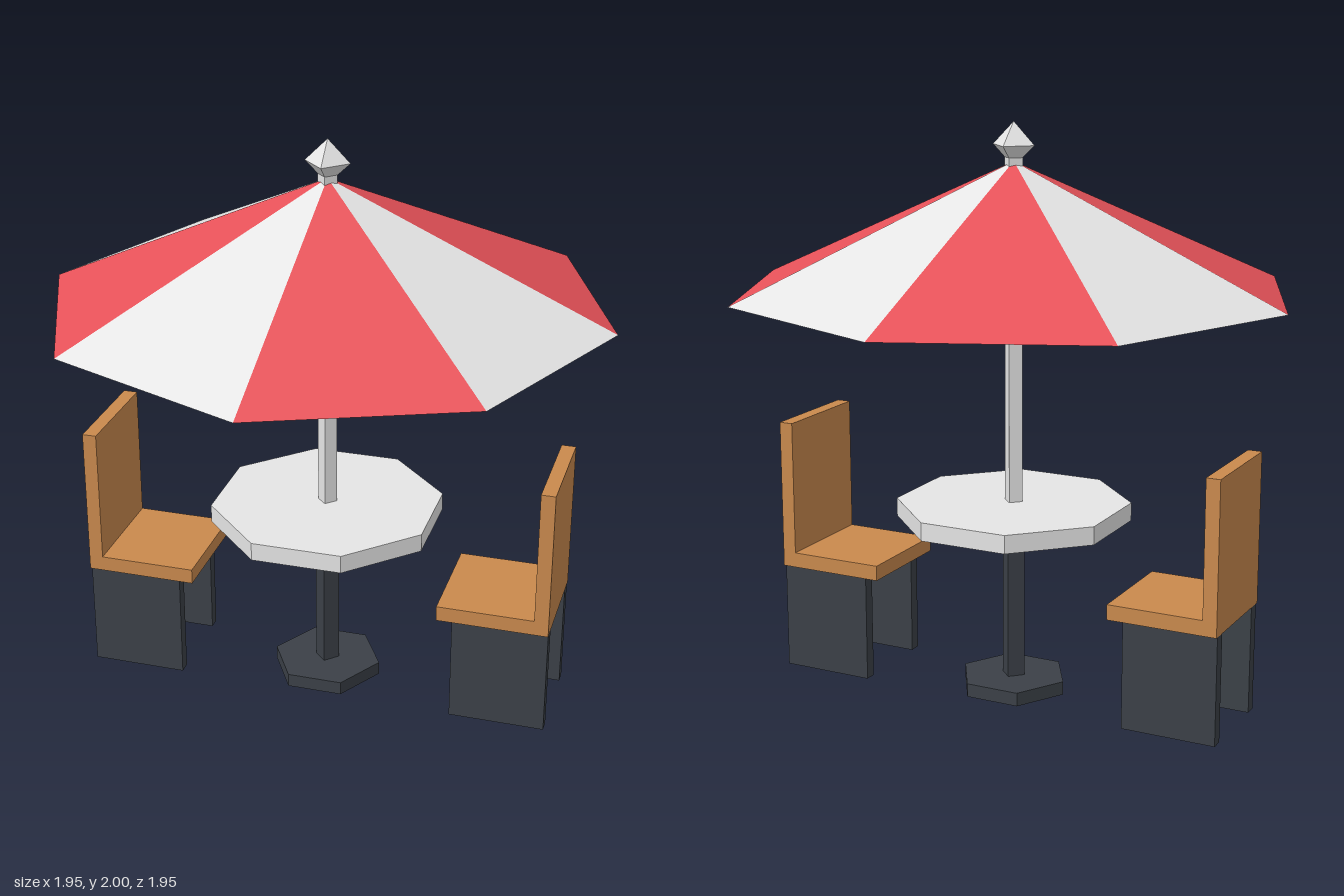
import * as THREE from 'three';

const mat = (name, color, side = THREE.FrontSide) => {
  const m = new THREE.MeshStandardMaterial({ color, side });
  m.name = name;
  return m;
};

export function createModel() {
  const red = mat('red', 0xe75259, THREE.DoubleSide);
  const light = mat('light grey', 0xe5e5e5, THREE.DoubleSide);
  const wood = mat('wood', 0xc9894d);
  const dark = mat('dark metal', 0x3b4047, THREE.DoubleSide);

  const model = new THREE.Group();
  model.name = 'parasolTable';

  // Faceted mesh: every face keeps its own normal
  const add = (parent, name, geometry, material, x = 0, y = 0, z = 0) => {
    const g = geometry.index ? geometry.toNonIndexed() : geometry;
    g.computeVertexNormals();
    const mesh = new THREE.Mesh(g, material);
    mesh.name = name;
    mesh.position.set(x, y, z);
    parent.add(mesh);
    return mesh;
  };
  // Upright prism between two heights
  const prism = (name, r, y0, y1, sides, material, turn = 0, open = false) =>
    add(model, name, new THREE.CylinderGeometry(r, r, y1 - y0, sides, 1, open, turn), material, 0, (y0 + y1) / 2);
  // Box given by its limits
  const box = (parent, name, [x0, x1], [y0, y1], [z0, z1], material) =>
    add(parent, name, new THREE.BoxGeometry(x1 - x0, y1 - y0, z1 - z0), material,
      (x0 + x1) / 2, (y0 + y1) / 2, (z0 + z1) / 2);

  // Hollow hexagonal foot: side wall and top plate
  const footR = 0.195, footH = 0.048;
  prism('footWall', footR, 0, footH, 6, dark, Math.PI / 6, true);
  add(model, 'footTop', new THREE.CircleGeometry(footR, 6).rotateX(-Math.PI / 2), dark, 0, footH);

  // Table on a hollow post
  prism('tablePost', 0.043, 0.02, 0.63, 4, dark, 0, true);
  prism('tableTop', 0.41, 0.624, 0.688, 8, light, Math.PI / 8);

  // Parasol pole and finial
  prism('parasolPole', 0.034, 0.68, 1.875, 4, light);
  const profile = [[0.034, 1.86], [0.034, 1.88], [0.078, 1.922], [0, 2]].map(([r, y]) => new THREE.Vector2(r, y));
  add(model, 'finial', new THREE.LatheGeometry(profile, 4), light);

  // Canopy of eight panels in alternating colours, with a shallower lining below
  const canopy = new THREE.Group();
  canopy.name = 'canopy';
  const step = Math.PI / 4, rim = 1.428;
  for (const [name, peak] of [['canopyPanel', 1.867], ['canopyLining', 1.577]]) {
    for (let i = 0; i < 8; i++) {
      const panel = new THREE.ConeGeometry(0.975, peak - rim, 1, 1, true, i * step, step);
      add(canopy, name, panel, i % 2 ? light : red, 0, (rim + peak) / 2);
    }
  }
  model.add(canopy);

  // Two chairs facing the table
  for (const side of [1, -1]) {
    const chair = new THREE.Group();
    chair.name = side > 0 ? 'leftChair' : 'rightChair';
    box(chair, 'seat', [0.445, 0.835], [0.383, 0.437], [-0.195, 0.195], wood);
    box(chair, 'backrest', [0.785, 0.835], [0.437, 0.918], [-0.195, 0.195], wood);
    box(chair, 'legPanel', [0.498, 0.834], [0, 0.383], [0.14, 0.183], dark);
    box(chair, 'legPanel', [0.498, 0.834], [0, 0.383], [-0.183, -0.14], dark);
    if (side < 0) chair.rotation.y = Math.PI;
    model.add(chair);
  }

  return model;
}
